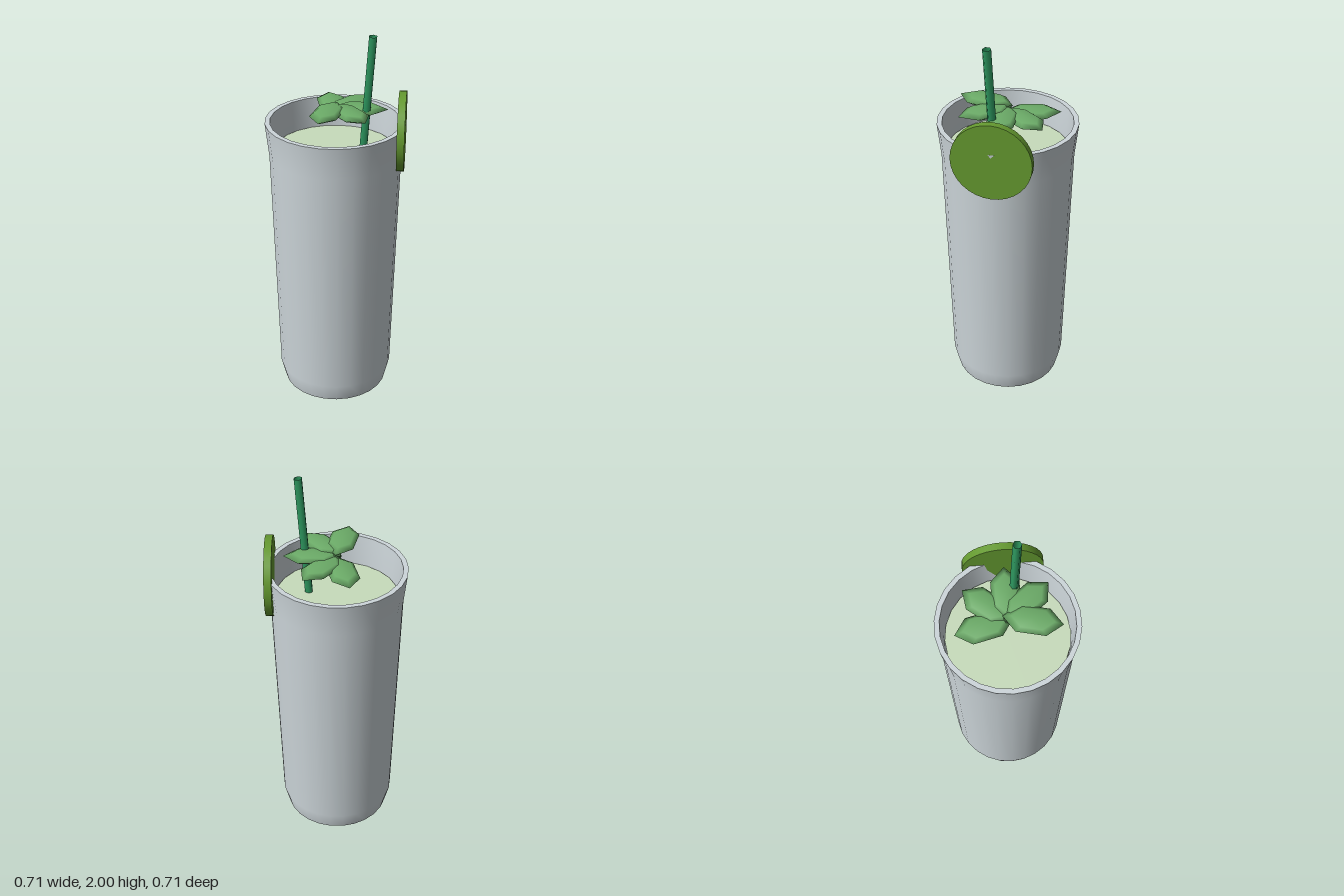
import * as THREE from 'three';

const mat = (name, color, side = THREE.FrontSide) => {
  const m = new THREE.MeshStandardMaterial({ color, side });
  m.name = name;
  return m;
};

export function createModel() {
  const group = new THREE.Group();
  const glassMat = mat('glass grey', 0xcdd6da);
  const drinkMat = mat('pale green drink', 0xc8dcbc);
  const leafMat = mat('mint green', 0x6cac68);
  const limeMat = mat('lime green', 0x659a30);
  const strawMat = mat('straw green', 0x2e9960, THREE.DoubleSide);

  const add = (name, geometry, material, parent = group) => {
    const mesh = new THREE.Mesh(geometry, material);
    mesh.name = name;
    parent.add(mesh);
    return mesh;
  };

  // Tumbler: separate lathed surfaces keep the rim and base edges sharp
  const glass = new THREE.Group();
  glass.name = 'glass';
  group.add(glass);
  const surfaces = {
    glassBottom: [[0, 0], [0.28, 0]],
    glassOuterWall: [[0.28, 0], [0.305, 0.1], [0.338, 1.36], [0.357, 1.535]],
    glassRim: [[0.357, 1.535], [0.331, 1.535]],
    glassInnerWall: [[0.331, 1.535], [0.318, 1.36], [0.285, 0.1]],
    glassInnerFloor: [[0.285, 0.1], [0, 0.1]],
  };
  for (const [name, pts] of Object.entries(surfaces)) {
    const profile = pts.map(([r, y]) => new THREE.Vector2(r, y));
    add(name, new THREE.LatheGeometry(profile, 26, Math.PI / 2), glassMat, glass);
  }

  // Drink filling the tumbler
  const drink = add('drink', new THREE.CylinderGeometry(0.313, 0.278, 1.265, 24), drinkMat);
  drink.position.y = 0.11 + 1.265 / 2;

  // Lime slice hooked over the rim
  const lime = add('limeSlice', new THREE.CylinderGeometry(0.203, 0.203, 0.038, 32), limeMat);
  lime.rotation.z = Math.PI / 2;
  lime.position.set(0.336, 1.49, 0);

  // Leaning hollow hexagonal straw
  const low = new THREE.Vector3(0.138, 1.3, 0.031);
  const high = new THREE.Vector3(0.187, 1.999, 0.057);
  const axis = high.clone().sub(low);
  const straw = add('straw', new THREE.CylinderGeometry(0.022, 0.022, axis.length(), 6, 1, true), strawMat);
  straw.position.copy(low).add(high).multiplyScalar(0.5);
  straw.quaternion.setFromUnitVectors(new THREE.Vector3(0, 1, 0), axis.normalize());

  // Mint sprig: flattened leaves fanned out, each a little higher than the last
  const sprig = new THREE.Group();
  sprig.name = 'mintSprig';
  sprig.position.y = 1.603;
  group.add(sprig);
  const leafShape = new THREE.SphereGeometry(1, 6, 4);
  leafShape.scale(0.147, 0.024, 0.081).translate(0.12, 0, 0);
  for (let i = -2; i <= 2; i++) {
    const leaf = add('mintLeaf', leafShape, leafMat, sprig);
    leaf.rotation.y = THREE.MathUtils.degToRad(-51.6 * i);
    leaf.position.y = 0.01 * i;
  }

  return group;
}
